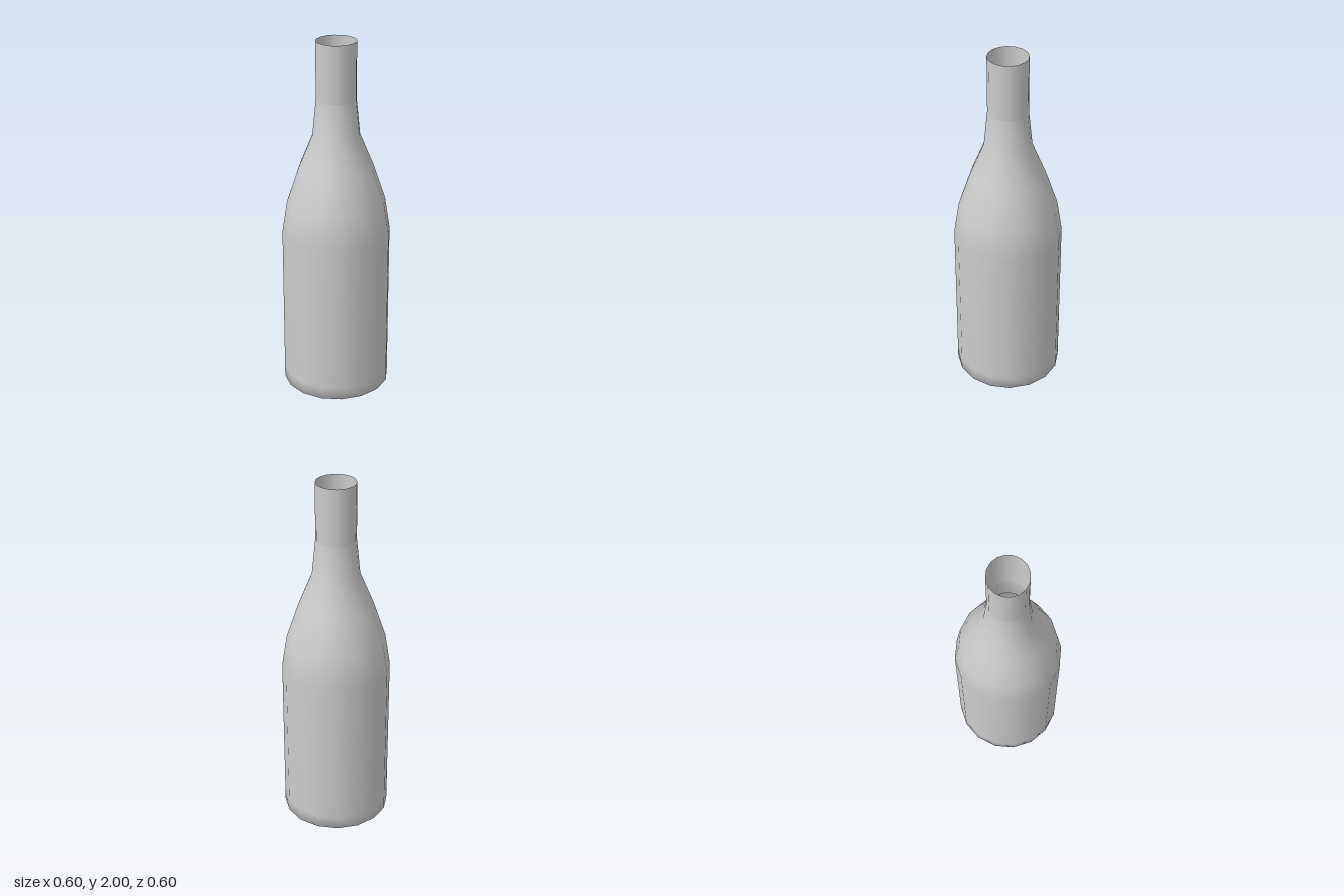
import * as THREE from 'three';

const SIDES = 16;

export function createModel() {
  const model = new THREE.Group();
  const glass = new THREE.MeshStandardMaterial({ color: 0xcccccc, side: THREE.DoubleSide });

  // Revolve a [radius, height] profile into a smooth-shaded part
  const turned = (name, profile) => {
    const points = profile.map(([r, y]) => new THREE.Vector2(r, y));
    const mesh = new THREE.Mesh(new THREE.LatheGeometry(points, SIDES), glass);
    mesh.name = name;
    model.add(mesh);
  };

  // Body: hollow base, straight wall, rounded shoulder
  turned('body', [
    [0, 0.07], [0.13, 0.07], [0.26, 0.0], [0.3, 0],
    [0.3, 0.07], [0.3, 0.92], [0.272, 1.1], [0.205, 1.3], [0.131, 1.48], [0.111, 1.68],
  ]);

  // Neck: straight open tube with a crease where it meets the shoulder
  turned('neck', [[0.111, 1.68], [0.111, 2]]);

  return model;
}
